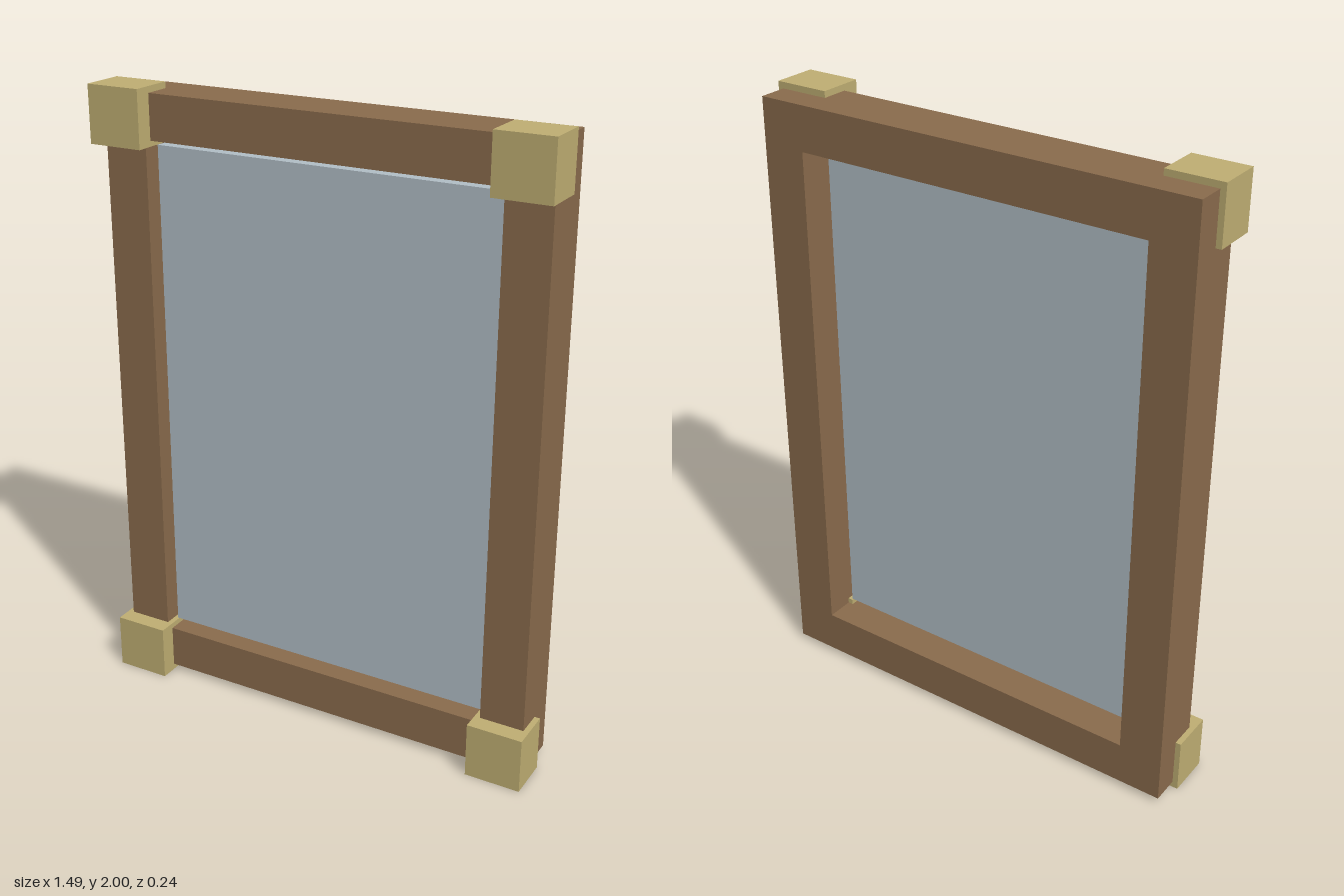
import * as THREE from 'three';

const wood = new THREE.MeshStandardMaterial({ name: 'wood', color: 0x8b6c4d });
const brass = new THREE.MeshStandardMaterial({ name: 'brass', color: 0xc1b074 });
const glass = new THREE.MeshStandardMaterial({ name: 'glass', color: 0xb3c0c8 });

const CENTER_Y = 1;

function add(parent, name, geometry, material, x, y, z) {
  const mesh = new THREE.Mesh(geometry, material);
  mesh.name = name;
  mesh.position.set(x, y, z);
  parent.add(mesh);
}

// Rectangle outline centred on the origin
function rectangle(Type, halfWidth, halfHeight) {
  return new Type([
    new THREE.Vector2(-halfWidth, -halfHeight),
    new THREE.Vector2(halfWidth, -halfHeight),
    new THREE.Vector2(halfWidth, halfHeight),
    new THREE.Vector2(-halfWidth, halfHeight),
  ]);
}

export function createModel() {
  const model = new THREE.Group();
  model.name = 'framedWindow';

  // Wooden surround with a rectangular opening
  const outline = rectangle(THREE.Shape, 0.727, 0.98);
  outline.holes.push(rectangle(THREE.Path, 0.583, 0.838));
  const frame = new THREE.ExtrudeGeometry(outline, { depth: 0.18, bevelEnabled: false });
  add(model, 'frame', frame, wood, 0, CENTER_Y, -0.118);

  // Pane floating in the opening with a narrow gap all round
  add(model, 'pane', new THREE.BoxGeometry(1.136, 1.636, 0.044), glass, 0, CENTER_Y, 0);

  // Corner blocks
  const block = new THREE.BoxGeometry(0.18, 0.18, 0.144);
  for (const [sx, side] of [[1, 'Left'], [-1, 'Right']]) {
    for (const [sy, level] of [[1, 'top'], [-1, 'bottom']]) {
      add(model, `${level}${side}CornerBlock`, block, brass, sx * 0.655, CENTER_Y + sy * 0.91, 0.046);
    }
  }
  return model;
}
